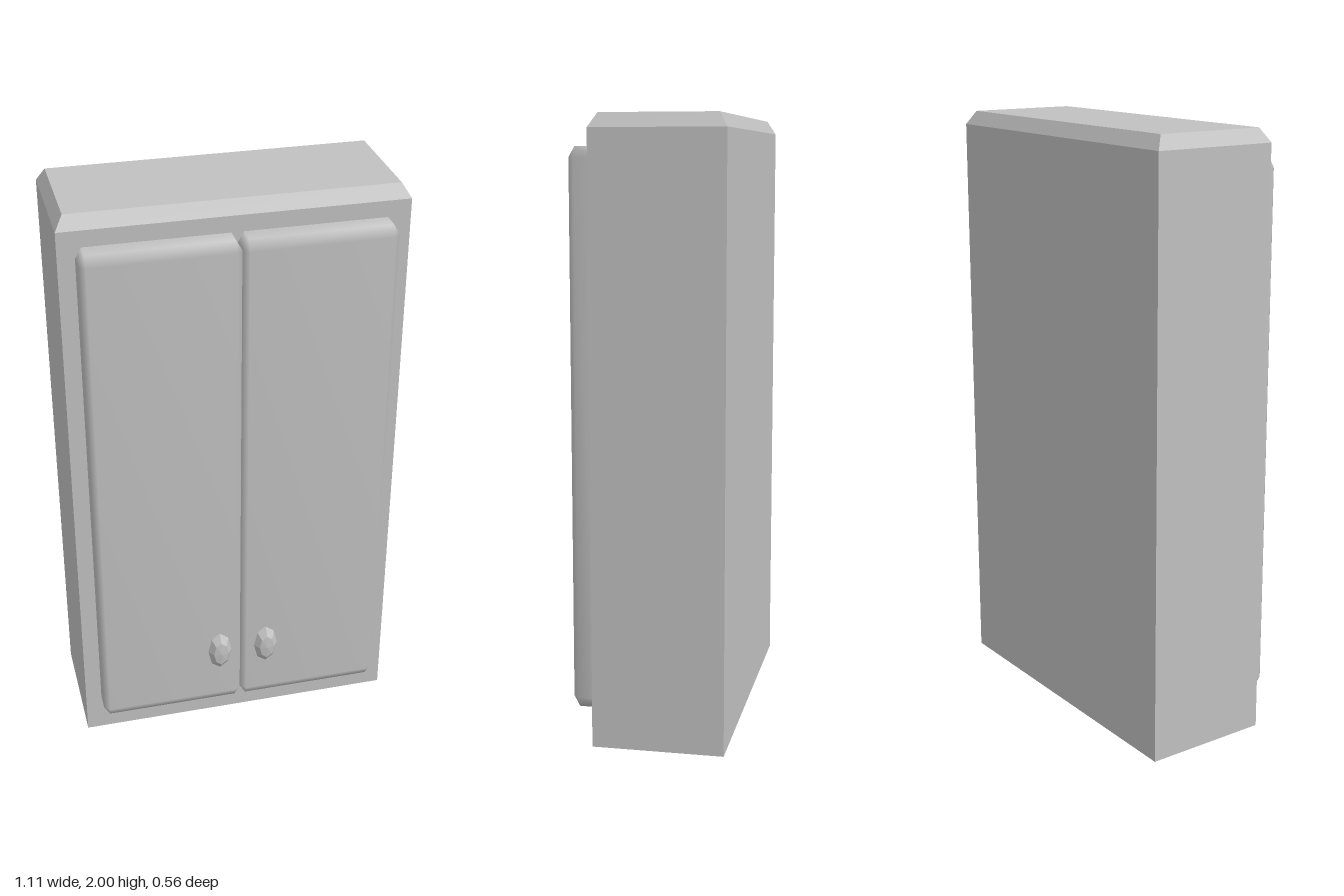
import * as THREE from 'three';
import { mergeVertices } from 'three/addons/utils/BufferGeometryUtils.js';

// Skin a stack of equal-length rings and cap the ends
function loft(rings, capStart, smooth) {
  const n = rings[0].length, index = [];
  for (let i = 0; i < rings.length - 1; i++) {
    for (let j = 0; j < n; j++) {
      const k = (j + 1) % n, a = i * n, b = a + n;
      index.push(a + j, a + k, b + k, a + j, b + k, b + j);
    }
  }
  const last = (rings.length - 1) * n;
  for (let j = 1; j < n - 1; j++) {
    index.push(last, last + j, last + j + 1);
    if (capStart) index.push(0, j + 1, j);
  }
  let geo = new THREE.BufferGeometry();
  geo.setAttribute('position', new THREE.Float32BufferAttribute(rings.flat(2), 3));
  geo.setIndex(index);
  geo = smooth ? mergeVertices(geo) : geo.toNonIndexed();
  geo.computeVertexNormals();
  return geo;
}

export function createModel() {
  const group = new THREE.Group();
  const grey = new THREE.MeshStandardMaterial({ color: 0xc0c0c0 });
  grey.name = 'lightGrey';
  const add = (name, geo) => {
    const mesh = new THREE.Mesh(geo, grey);
    mesh.name = name;
    group.add(mesh);
    return mesh;
  };

  // Cabinet box with a chamfered top rim
  const bodyRing = (y, inset) => {
    const x = 0.555 - inset, front = 0.147 - inset, back = -0.28 + inset;
    return [[x, y, front], [x, y, back], [-x, y, back], [-x, y, front]];
  };
  add('cabinet', loft([bodyRing(0, 0), bodyRing(1.955, 0), bodyRing(2, 0.027)], true, false));

  // Door panels: cut-corner outline, bevelled to a rectangular front
  const hw = 0.25, hh = 0.898, bx = 0.02, by = 0.035;
  const doorRing = (z, ex, ey) => [
    [hw - bx + ex, -hh + by, z], [hw - bx + ex, hh - by, z],
    [hw - bx, hh - by + ey, z], [-hw + bx, hh - by + ey, z],
    [-hw + bx - ex, hh - by, z], [-hw + bx - ex, -hh + by, z],
    [-hw + bx, -hh + by - ey, z], [hw - bx, -hh + by - ey, z],
  ];
  const doorGeo = loft([doorRing(0.14, bx, by), doorRing(0.206, bx, by), doorRing(0.225, 0, 0)], false, true);

  // Faceted oval knob
  const profile = [[0.032, 0.22], [0.028, 0.231], [0.042, 0.248], [0.026, 0.27], [0, 0.275]]
    .map(([r, z]) => new THREE.Vector2(r, z));
  const knobGeo = new THREE.LatheGeometry(profile, 8).rotateX(Math.PI / 2).scale(1, 1.79, 1).toNonIndexed();
  knobGeo.computeVertexNormals();

  for (const [side, s] of [['left', 1], ['right', -1]]) {
    add(side + 'Door', doorGeo).position.set(s * hw, 1.003, 0);
    add(side + 'Knob', knobGeo).position.set(s * 0.083, 0.355, 0);
  }
  return group;
}
